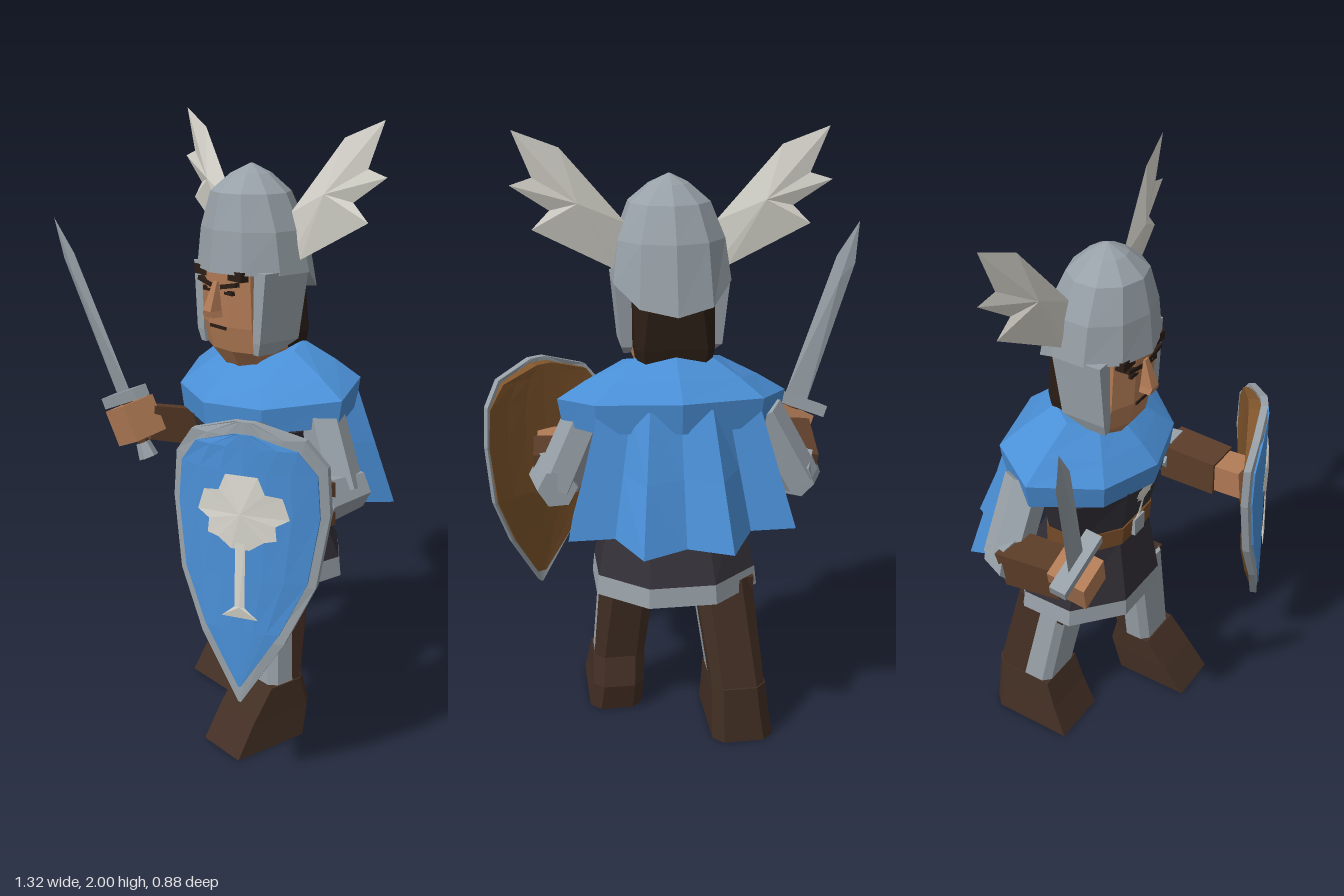
import * as THREE from 'three';

const V = (x, y, z) => new THREE.Vector3(x, y, z);
const CX = 0.045; // body centre line
const C = { blue: 0x4a8fd6, steel: 0x98a1a8, feather: 0xd9d7ce, skin: 0xb27b56, hair: 0x2b1d15,
  boot: 0x432f24, leather: 0x5c3d28, belt: 0x754a28, tunic: 0x322f36, wood: 0x80562c };
const mats = {};
const mat = c => (mats[c] ??= new THREE.MeshStandardMaterial({ color: c, flatShading: true, side: THREE.DoubleSide }));

function add(parent, name, geometry, color) {
  const mesh = new THREE.Mesh(geometry, mat(color));
  mesh.name = name;
  parent.add(mesh);
  return mesh;
}

function fromTriangles(tris) {
  const g = new THREE.BufferGeometry().setFromPoints(tris);
  g.computeVertexNormals();
  return g;
}

// Skin a list of cross-sections; closed solids are turned outward by their signed volume
function loft(rows, closed = true) {
  const tris = [], n = rows[0].length;
  for (let i = 0; i + 1 < rows.length; i++)
    for (let j = 0; j < (closed ? n : n - 1); j++) {
      const k = (j + 1) % n, a = rows[i][j], b = rows[i][k], c = rows[i + 1][k], d = rows[i + 1][j];
      tris.push(a, b, c, a, c, d);
    }
  if (closed) {
    const lo = rows[0], hi = rows[rows.length - 1];
    for (let j = 1; j + 1 < n; j++) tris.push(lo[0], lo[j + 1], lo[j], hi[0], hi[j], hi[j + 1]);
    let vol = 0;
    for (let i = 0; i < tris.length; i += 3) vol += tris[i].dot(V().crossVectors(tris[i + 1], tris[i + 2]));
    if (vol < 0) tris.reverse();
  }
  return fromTriangles(tris);
}

// Thin lens-shaped plate: an outline fanned to a raised centre on both sides
function fan(outline, [cx, cy], lift, z = () => 0) {
  const tris = [], p = outline.map(([x, y]) => V(x, y, z(x, y)));
  p.forEach((a, i) => {
    const b = p[(i + 1) % p.length];
    tris.push(V(cx, cy, z(cx, cy) + lift), a, b, V(cx, cy, z(cx, cy) - lift), b, a);
  });
  return fromTriangles(tris);
}

const quad = (y, x0, x1, z0, z1) => [V(x0, y, z0), V(x1, y, z0), V(x1, y, z1), V(x0, y, z1)];

// Rectangle whose za end has its corners cut by c
function slab(y, x0, x1, za, zb, c) {
  const zc = za + Math.sign(zb - za) * c;
  return [[x0 + c, za], [x1 - c, za], [x1, zc], [x1, zb], [x0, zb], [x0, zc]].map(([x, z]) => V(x, y, z));
}

function ring(y, rx, z0, z1, n, phase = 0) {
  const s = 1 / Math.cos(phase), zc = (z0 + z1) / 2, rz = (z1 - z0) / 2;
  return Array.from({ length: n }, (_, i) => {
    const t = phase + (i / n) * Math.PI * 2;
    return V(CX + Math.sin(t) * rx * s, y, zc + Math.cos(t) * rz * s);
  });
}

function limb(parent, name, a, b, r0, r1, sides, color) {
  const dir = b.clone().sub(a);
  const g = new THREE.CylinderGeometry(r1, r0, dir.length(), sides, 1, false, Math.PI / sides);
  const mesh = add(parent, name, g, color);
  mesh.position.copy(a).add(b).multiplyScalar(0.5);
  mesh.quaternion.setFromUnitVectors(V(0, 1, 0), dir.normalize());
}

function box(parent, name, size, pos, color, rz = 0) {
  const mesh = add(parent, name, new THREE.BoxGeometry(...size), color);
  mesh.position.set(...pos);
  mesh.rotation.z = rz;
}

// Simple tree ornament, s = half width of the crown
function tree(parent, s, z) {
  const half = [[0.2, -0.15], [0.5, 0.05], [0.75, 0.1], [0.72, 0.4], [1, 0.55], [0.85, 1], [0.5, 1.05], [0.35, 1.4]];
  const crown = [...half, ...half.map(([x, y]) => [-x, y]).reverse()].map(([x, y]) => [x * s, y * s]);
  const trunk = [[-0.4, -1.65], [0.4, -1.65], [0.11, -1.4], [0.11, 0.2], [-0.11, 0.2], [-0.11, -1.4]].map(([x, y]) => [x * s, y * s]);
  add(parent, 'treeCrown', fan(crown, [0, 0.6 * s], 0.006, z), C.feather);
  add(parent, 'treeTrunk', fan(trunk, [0, -1.4 * s], 0.004, z), C.feather);
}

function buildHead(root) {
  const face = (y, w, z0, z1) => [[-w, z0], [w, z0], [w, z1 - 0.035], [w * 0.4, z1], [-w * 0.4, z1], [-w, z1 - 0.035]].map(([x, z]) => V(CX + x, y, z));
  add(root, 'head', loft([face(1.18, 0.08, -0.12, 0.04), face(1.23, 0.085, -0.1, 0.08), face(1.28, 0.122, -0.05, 0.115),
    face(1.36, 0.125, -0.05, 0.132), face(1.54, 0.125, -0.05, 0.14)]), C.skin);
  add(root, 'hair', loft([slab(1.18, CX - 0.1, CX + 0.1, -0.14, -0.02, 0.02), slab(1.33, CX - 0.126, CX + 0.126, -0.155, -0.04, 0.025),
    slab(1.54, CX - 0.13, CX + 0.13, -0.155, -0.04, 0.055)]), C.hair);
  add(root, 'nose', loft([quad(1.39, CX - 0.025, CX + 0.025, 0.12, 0.172), quad(1.41, CX - 0.02, CX + 0.02, 0.12, 0.178),
    quad(1.5, CX - 0.01, CX + 0.01, 0.12, 0.145)]), C.skin);
  box(root, 'mouth', [0.08, 0.01, 0.01], [CX, 1.355, 0.131], C.hair);
  box(root, 'fringe', [0.24, 0.03, 0.04], [CX, 1.525, 0.117], C.hair);

  // Helmet dips lower at the neck
  const rim = ring(1.53, 0.195, -0.21, 0.165, 10);
  rim.forEach(p => { if (p.z < -0.1) p.y = 1.53 + (p.z + 0.07) * 0.6; });
  add(root, 'helmet', loft([rim, ring(1.66, 0.177, -0.17, 0.152, 10), ring(1.77, 0.132, -0.12, 0.127, 10),
    ring(1.825, 0.065, -0.06, 0.065, 10), ring(1.855, 0.003, -0.003, 0.003, 10)]), C.steel);

  for (const s of [-1, 1]) {
    const side = new THREE.Group();
    side.name = s > 0 ? 'leftHelmetSide' : 'rightHelmetSide';
    side.position.x = CX;
    side.scale.x = s;
    root.add(side);
    add(side, 'cheekGuard', loft([quad(1.28, 0.125, 0.148, 0.02, 0.09), quad(1.32, 0.127, 0.162, -0.06, 0.095),
      quad(1.54, 0.128, 0.183, -0.08, 0.092)]), C.steel);
    const wing = [[0.15, 1.58], [0.18, 1.57], [0.43, 1.705], [0.375, 1.76], [0.492, 1.84], [0.425, 1.86], [0.48, 2], [0.34, 1.945], [0.14, 1.71]];
    add(side, 'wing', fan(wing, [0.29, 1.78], 0.025, x => -0.045 - 0.18 * (x - 0.17)), C.feather);
    box(side, 'eyebrow', [0.075, 0.014, 0.02], [0.058, 1.492, 0.132], C.hair, 0.2);
    box(side, 'eye', [0.04, 0.014, 0.02], [0.055, 1.47, 0.127], C.hair);
  }
}

function buildBody(root) {
  const p = Math.PI / 8;
  const hem = ring(0.585, 0.258, -0.295, 0.15, 8, p), waist = ring(0.815, 0.207, -0.18, 0.11, 8, p);
  add(root, 'tunicHem', loft([ring(0.52, 0.265, -0.302, 0.152, 8, p), hem]), C.steel);
  add(root, 'tunicSkirt', loft([hem, waist]), C.tunic);
  add(root, 'belt', loft([ring(0.81, 0.213, -0.187, 0.12, 8, p), ring(0.88, 0.213, -0.187, 0.125, 8, p)]), C.belt);
  add(root, 'tunicChest', loft([ring(0.87, 0.208, -0.175, 0.117, 8, p), ring(1.05, 0.262, -0.175, 0.155, 8, p), ring(1.16, 0.2, -0.15, 0.1, 8, p)]), C.tunic);
  box(root, 'buckle', [0.06, 0.065, 0.02], [CX, 0.845, 0.124], C.steel);
  const ornament = new THREE.Group();
  ornament.name = 'chestOrnament';
  ornament.position.set(CX, 0.965, 0.142);
  ornament.rotation.x = 0.2;
  tree(ornament, 0.055, () => 0.004);
  root.add(ornament);

  // Shoulder mantle rises toward the back
  const half = [[0, 0.195], [0.215, 0.13], [0.37, -0.06], [0.265, -0.235], [0, -0.3]];
  const plan = [...half, ...half.slice(1, 4).reverse().map(([x, z]) => [-x, z])];
  const collar = (s, y, k) => plan.map(([x, z]) => {
    const zz = -0.04 + (z + 0.04) * s;
    return V(CX + x * s, y - zz * k, zz);
  });
  add(root, 'mantle', loft([collar(0.96, 1.065, 0.12), collar(1, 1.15, 0.16), collar(0.75, 1.205, 0.2), collar(0.42, 1.265, 0.3)]), C.blue);

  // Pleated cape
  const edge = [[-0.335, -0.16], [-0.36, -0.31], [-0.215, -0.31], [-0.14, -0.44], [0, -0.39]];
  const bottom = [...edge, ...edge.slice(0, 4).reverse().map(([x, z]) => [-x, z])];
  const row = t => bottom.map(([x, z]) => V(CX + x * (1 - 0.3 * t), 0.81 + (z + 0.1) * 0.17 + (0.36 - (z + 0.1) * 0.17) * t,
    z + (-0.17 + (z + 0.16) * 0.38 - z) * t));
  add(root, 'cape', loft([row(0), row(0.5), row(1)], false), C.blue);
}

function buildLegs(root) {
  // top and low: [x0, x1, back, split, front]; boot rows: [y, x0, x1, heel, toe]
  const legs = {
    left: { top: [0.1, 0.28, -0.1, 0.02, 0.1], low: [0.14, 0.31, -0.025, 0.035, 0.12],
      boot: [[0, 0.15, 0.33, -0.03, 0.275], [0.1, 0.143, 0.32, -0.055, 0.205], [0.2, 0.137, 0.314, -0.03, 0.125]] },
    right: { top: [-0.2, -0.01, -0.22, -0.1, -0.01], low: [-0.235, -0.06, -0.295, -0.17, -0.07],
      boot: [[0, -0.265, -0.06, -0.3, 0.02], [0.1, -0.25, -0.058, -0.3, -0.03], [0.2, -0.238, -0.057, -0.3, -0.068]] },
  };
  for (const [side, { top: t, low: l, boot }] of Object.entries(legs)) {
    const leg = new THREE.Group();
    leg.name = side + 'Leg';
    root.add(leg);
    add(leg, 'legFront', loft([slab(0.19, l[0], l[1], l[4], l[3], 0.025), slab(0.56, t[0], t[1], t[4], t[3], 0.025)]), C.steel);
    add(leg, 'legBack', loft([slab(0.19, l[0], l[1], l[2], l[3], 0.03), slab(0.56, t[0], t[1], t[2], t[3], 0.04)]), C.boot);
    add(leg, 'legStrap', loft([quad(0.49, t[0] - 0.003, t[1] + 0.004, t[2] + 0.03, t[4] - 0.01), quad(0.56, t[0] - 0.005, t[1] + 0.005, t[2] + 0.02, t[4] - 0.01)]), C.boot);
    add(leg, 'boot', loft(boot.map(b => slab(...b, 0.035))), C.boot);
  }
}

function buildArms(root) {
  limb(root, 'rightUpperArm', V(-0.23, 1.11, -0.12), V(-0.36, 0.87, -0.125), 0.075, 0.075, 6, C.steel);
  limb(root, 'rightElbow', V(-0.345, 0.88, -0.17), V(-0.365, 0.89, -0.07), 0.06, 0.085, 6, C.steel);
  limb(root, 'rightForearm', V(-0.365, 0.89, -0.09), V(-0.39, 0.945, 0.13), 0.09, 0.083, 4, C.leather);
  limb(root, 'leftUpperArm', V(0.32, 1.11, -0.06), V(0.425, 0.87, -0.055), 0.07, 0.075, 6, C.steel);
  limb(root, 'leftElbow', V(0.425, 0.875, -0.12), V(0.43, 0.87, 0.05), 0.065, 0.082, 6, C.steel);
  limb(root, 'leftForearm', V(0.43, 0.87, 0.03), V(0.425, 0.87, 0.24), 0.095, 0.09, 4, C.leather);
  limb(root, 'leftHand', V(0.425, 0.87, 0.23), V(0.42, 0.88, 0.34), 0.075, 0.075, 4, C.skin);
}

function buildSword(root) {
  const sword = new THREE.Group();
  sword.name = 'sword';
  const y = V(-0.24, 0.605, 0.115).normalize(), z = V(0.92, 0.39, 0).cross(y).normalize(), x = y.clone().cross(z);
  sword.quaternion.setFromRotationMatrix(new THREE.Matrix4().makeBasis(x, y, z));
  sword.position.set(-0.42, 1.035, 0.19);
  root.add(sword);
  add(sword, 'blade', fan([[-0.042, 0], [0.042, 0], [0.036, 0.52], [0, 0.66], [-0.036, 0.52]], [0, 0.45], 0.012), C.steel);
  box(sword, 'guard', [0.22, 0.04, 0.055], [0, 0, 0], C.steel);
  box(sword, 'rightHand', [0.12, 0.13, 0.13], [0, -0.09, -0.005], C.skin);
  limb(sword, 'grip', V(0, 0, 0), V(0, -0.19, 0), 0.02, 0.02, 6, C.leather);
  limb(sword, 'pommel', V(0, -0.17, 0), V(0, -0.225, 0), 0.025, 0.035, 6, C.steel);
}

function buildShield(root) {
  const shield = new THREE.Group();
  shield.name = 'shield';
  shield.position.set(0.441, 0, 0.312);
  shield.rotation.y = 0.515;
  root.add(shield);
  // Bowed across and leaning slightly back at the top; the back is flatter, thinning to the tip
  const bow = x => 1 - (x / 0.25) ** 2;
  const bend = (x, y) => 0.068 * bow(x) + (0.8 - y) * 0.03;
  const flat = (x, y) => bend(x, y) - 0.012 - 0.045 * bow(x) * Math.min(1, Math.max(0, (y - 0.33) / 0.35));
  const rows = [[0.32, 0.004], [0.52, 0.13], [0.7, 0.213], [0.92, 0.245], [1.06, 0.235], [1.14, 0.175], [1.185, 0.03]];
  // Curved plate between a back and a front surface, scaled about its middle
  const plate = (s, back, front) => loft(rows.map(([y, w]) => {
    const yy = 0.83 + (y - 0.83) * s, xs = [-3, -2, -1, 0, 1, 2, 3].map(i => (i / 3) * w * s);
    return [...xs.map(x => V(x, yy, front(x, yy))), ...xs.reverse().map(x => V(x, yy, back(x, yy)))];
  }));
  const raised = d => (x, y) => bend(x, y) + d;
  add(shield, 'shieldRim', plate(1, raised(-0.016), raised(0.008)), C.steel);
  add(shield, 'shieldFace', plate(0.9, raised(0), raised(0.013)), C.blue);
  add(shield, 'shieldBack', plate(0.96, flat, raised(-0.01)), C.wood);
  const ornament = new THREE.Group();
  ornament.name = 'shieldOrnament';
  ornament.position.y = 0.83;
  tree(ornament, 0.143, (x, y) => bend(x, y + 0.83) + 0.019);
  shield.add(ornament);
}

export function createModel() {
  const root = new THREE.Group();
  root.name = 'knight';
  [buildHead, buildBody, buildLegs, buildArms, buildSword, buildShield].forEach(build => build(root));
  return root;
}
